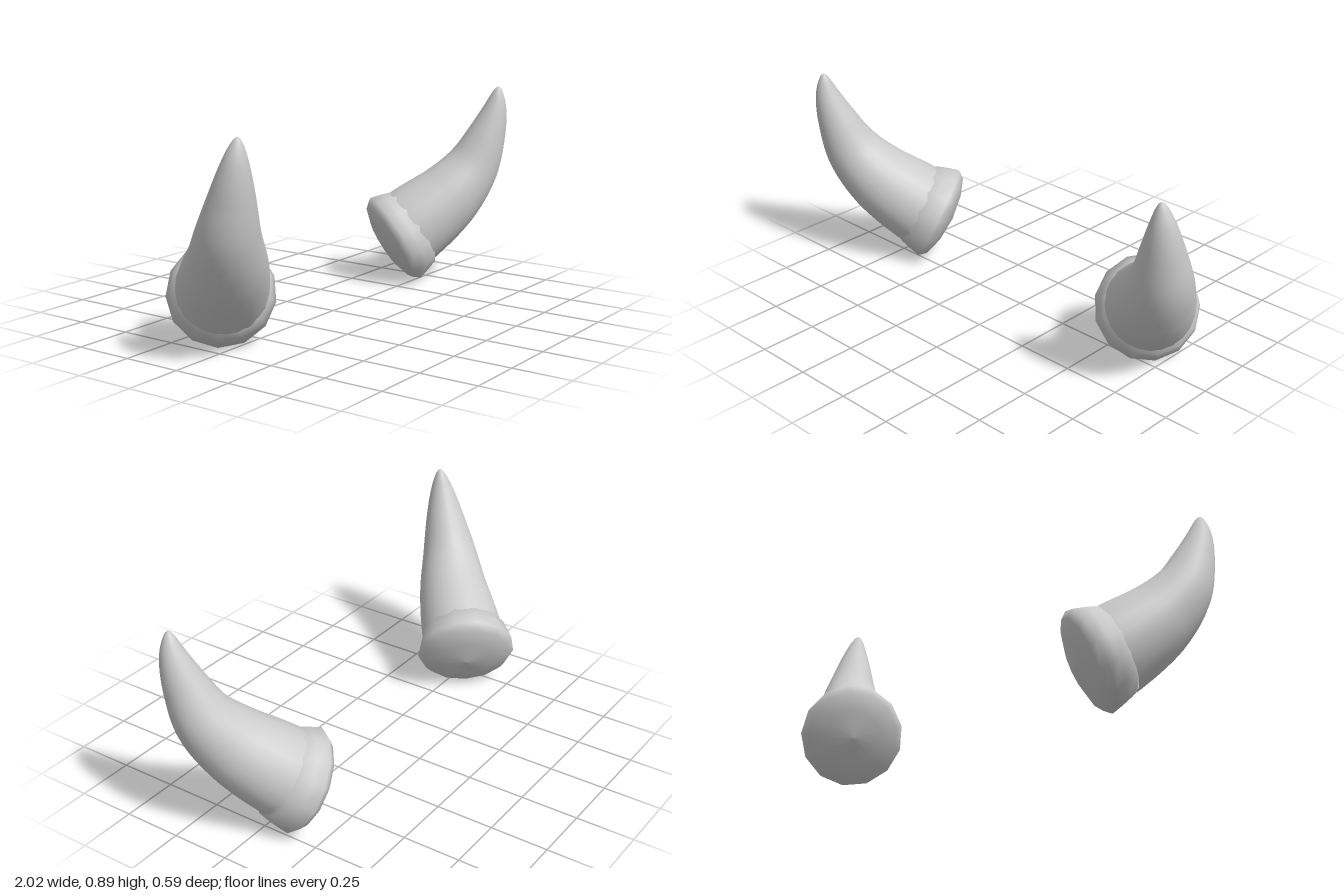
import * as THREE from 'three';
import { mergeVertices } from 'three/addons/utils/BufferGeometryUtils.js';

const material = new THREE.MeshStandardMaterial({ color: 0xcccccc, side: THREE.DoubleSide });

// Horn thickness along its length: steady taper with a small rounded tip
const hornRadius = (u) =>
  0.185 * (1 - Math.pow(u, 1.6)) + 0.085 * Math.sqrt(1 - u) * Math.pow(u, 4);

function hornGeometry(side) {
  const curve = new THREE.CatmullRomCurve3([
    [0.66, 0.23, -0.06], [0.80, 0.39, 0.085], [0.88, 0.52, 0.16],
    [0.918, 0.665, 0.212], [0.938, 0.795, 0.246], [0.94, 0.9, 0.262],
  ].map(([x, y, z]) => new THREE.Vector3(side * x, y, z)));
  const rings = 96, sides = 24;
  const geo = new THREE.TubeGeometry(curve, rings, 1, sides);
  const pos = geo.attributes.position;
  const v = new THREE.Vector3();
  // Scale every ring of the unit tube to the taper
  for (let i = 0; i <= rings; i++) {
    const centre = curve.getPointAt(i / rings);
    for (let j = 0; j <= sides; j++) {
      const k = i * (sides + 1) + j;
      v.fromBufferAttribute(pos, k).sub(centre).multiplyScalar(hornRadius(i / rings)).add(centre);
      pos.setXYZ(k, v.x, v.y, v.z);
    }
  }
  geo.deleteAttribute('uv');
  geo.deleteAttribute('normal');
  const smooth = mergeVertices(geo);
  smooth.computeVertexNormals();
  return smooth;
}

// Domed underside, rounded rim and flared collar that closes onto the horn
const baseProfile = [
  [0, -0.06], [0.12, -0.045], [0.195, -0.02], [0.22, 0.01],
  [0.207, 0.06], [0.191, 0.11], [0.15, 0.14],
].map(([r, y]) => new THREE.Vector2(r, y));

function createHorn(side, name, baseCentre, baseAxis) {
  const group = new THREE.Group();
  group.name = name;

  const horn = new THREE.Mesh(hornGeometry(side), material);
  horn.name = 'curvedHorn';

  const base = new THREE.Mesh(new THREE.LatheGeometry(baseProfile, 13), material);
  base.name = 'flaredBase';
  base.position.set(...baseCentre);
  base.quaternion.setFromUnitVectors(
    new THREE.Vector3(0, 1, 0),
    new THREE.Vector3(...baseAxis).normalize(),
  );

  group.add(horn, base);
  return group;
}

export function createModel() {
  const model = new THREE.Group();
  model.name = 'hornPair';
  // The two bases sit at slightly different angles
  model.add(
    createHorn(1, 'leftHorn', [0.617, 0.192, -0.1], [0.67, 0.49, 0.55]),
    createHorn(-1, 'rightHorn', [-0.607, 0.2, -0.108], [-0.7, 0.43, 0.55]),
  );
  return model;
}
